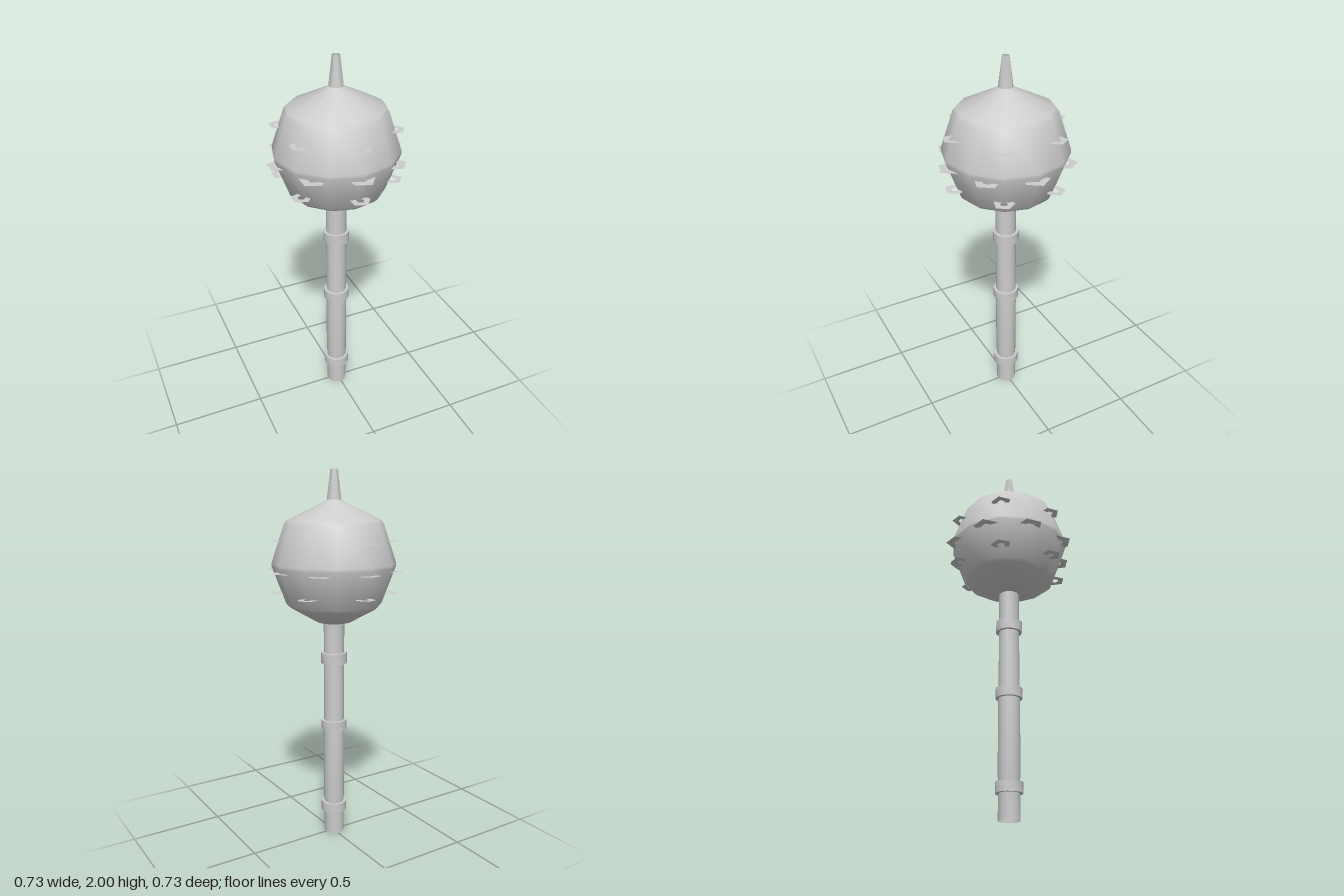
import * as THREE from 'three';
import { toCreasedNormals } from 'three/addons/utils/BufferGeometryUtils.js';

export function createModel() {
  const model = new THREE.Group();
  const steel = new THREE.MeshStandardMaterial({ color: 0xcccccc, side: THREE.DoubleSide });
  steel.name = 'paleSteel';
  const axis = new THREE.Group();
  axis.name = 'mace';
  axis.position.x = -0.007;
  model.add(axis);

  const add = (name, geometry) => {
    const mesh = new THREE.Mesh(geometry, steel);
    mesh.name = name;
    axis.add(mesh);
  };
  // Twelve-sided turned part from [radius, y] points, bottom to top
  const turn = (points) => new THREE.LatheGeometry(points.map(([r, y]) => new THREE.Vector2(r, y)), 12);
  const crease = (geometry) => toCreasedNormals(geometry, 0.65);

  // Hollow handle, open at the foot
  add('handle', crease(turn([[0.055, 0], [0.055, 0.2], [0.057, 0.22], [0.057, 0.6], [0.055, 0.64], [0.055, 1.23]])));

  // Raised bands round the handle
  for (const [low, high] of [[0.13, 0.185], [0.615, 0.67], [0.99, 1.05]]) {
    add('handleBand', crease(turn([[0.055, low], [0.07, low], [0.07, high], [0.055, high]])));
  }

  // Faceted head with softened ridges
  add('head', crease(turn([
    [0.055, 1.218], [0.092, 1.218],
    [0.238, 1.3], [0.253, 1.316],
    [0.326, 1.512], [0.326, 1.528],
    [0.258, 1.73], [0.243, 1.747],
    [0.05, 1.84], [0.037, 1.85],
  ])));

  // Open top spike: twelve sides at the base merging into a hexagon
  const spike = turn([[0.037, 1.85], [0.02, 2]]);
  const p = spike.attributes.position;
  for (let i = 0; i <= 12; i++) {
    if (i % 2 === 0) continue;
    const k = i * 2 + 1;
    p.setXYZ(k, p.getX(k) * 0.866, p.getY(k), p.getZ(k) * 0.866);
  }
  add('topSpike', crease(spike));

  // Rows of flat five-sided studs, all turned the same way
  const rows = [
    { y: 1.64, count: 6, start: Math.PI / 6, ring: 0.285, size: 0.055 },
    { y: 1.49, count: 8, start: 0, ring: 0.3, size: 0.07 },
    { y: 1.37, count: 6, start: Math.PI / 6, ring: 0.285, size: 0.055 },
  ];
  for (const { y, count, start, ring, size } of rows) {
    for (let i = 0; i < count; i++) {
      const a = start + (i / count) * Math.PI * 2;
      const stud = new THREE.RingGeometry(size * 0.38, size, 5, 1);
      stud.rotateX(-Math.PI / 2);
      stud.translate(Math.cos(a) * ring, y, Math.sin(a) * ring);
      add('stud', stud);
    }
  }
  return model;
}
